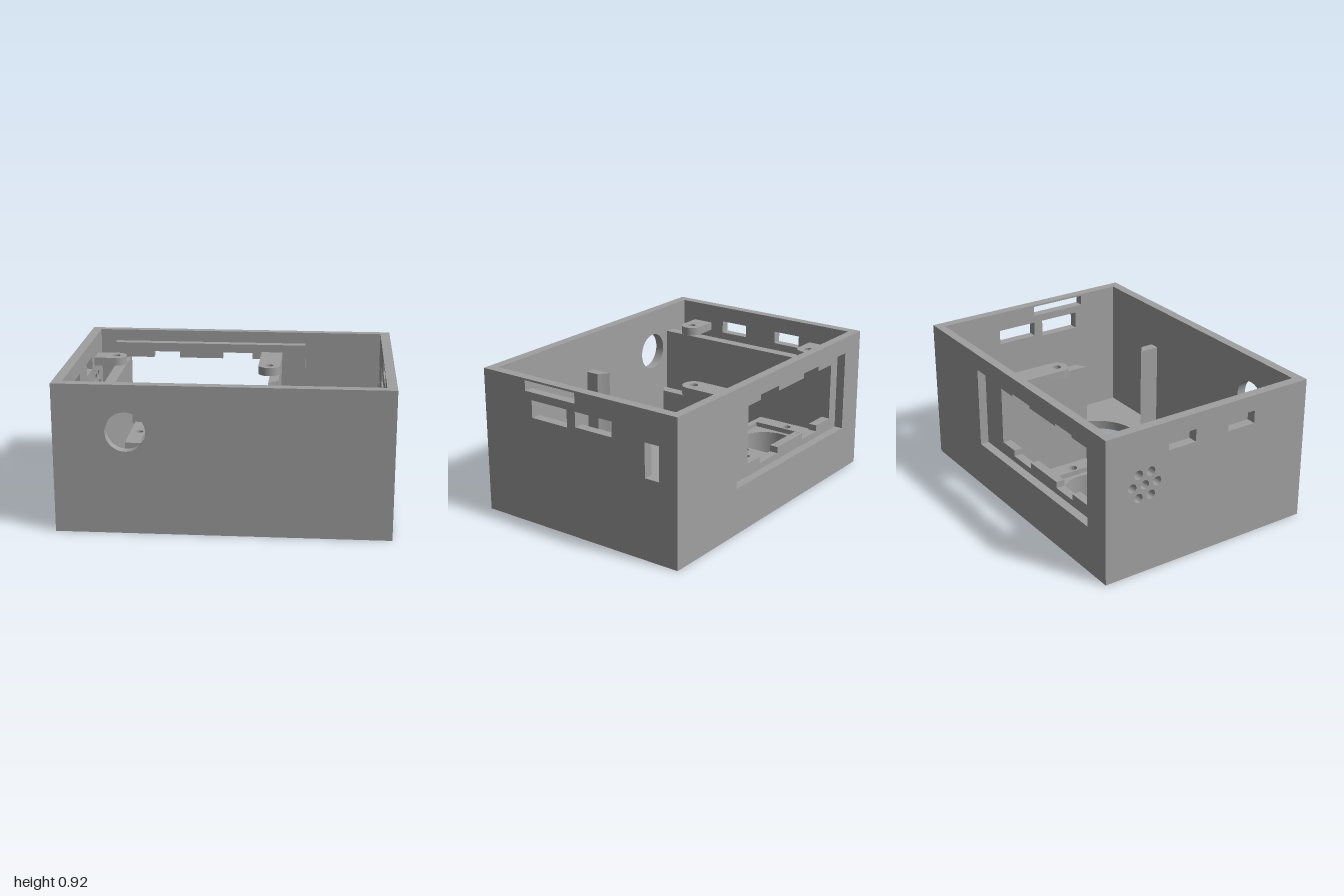
import * as THREE from 'three';
import { toCreasedNormals } from 'three/addons/utils/BufferGeometryUtils.js';

const circle = (x, y, r) => new THREE.Path().absarc(x, y, r, 0, Math.PI * 2, true);
const poly = (pts, T = THREE.Shape) => new T(pts.map(([x, y]) => new THREE.Vector2(x, y)));
const corners = (x0, x1, y0, y1) => [[x0, y0], [x1, y0], [x1, y1], [x0, y1]];
const rect = (...a) => poly(corners(...a));
const slot = (...a) => poly(corners(...a).reverse(), THREE.Path);

export function createModel() {
  const group = new THREE.Group();
  const grey = new THREE.MeshStandardMaterial({ color: 0xa0a0a0 });
  grey.name = 'grey plastic';

  const extrude = (shape, depth, holes) => {
    shape.holes.push(...holes);
    return new THREE.ExtrudeGeometry(shape, { depth, bevelEnabled: false, curveSegments: 28 });
  };
  const add = (name, geometry) => {
    const mesh = new THREE.Mesh(toCreasedNormals(geometry, 0.5), grey);
    mesh.name = name;
    group.add(mesh);
  };
  // Outline in x,y pushed along z
  const upright = (name, shape, z0, z1, holes = []) =>
    add(name, extrude(shape, z1 - z0, holes).translate(0, 0, z0));
  // Outline in x,z pushed along y
  const flat = (name, shape, y0, y1, holes = []) =>
    add(name, extrude(shape, y1 - y0, holes).rotateX(Math.PI / 2).translate(0, y1, 0));
  // Outline in z,y pushed along x
  const side = (name, shape, x0, x1, holes = []) =>
    add(name, extrude(shape, x1 - x0, holes).rotateY(-Math.PI / 2).translate(x1, 0, 0));

  const H = 0.915, FLOOR = 0.06, DIVIDER = 0.737, TAB = 0.79, BACK = -0.66;
  const big = { x: 0.437, z: 0.177, r: 0.3 };

  // Floor with the two round openings
  flat('floor', rect(-1, 1, -0.715, 0.715), 0, FLOOR,
    [circle(big.x, big.z, big.r), circle(-0.405, -0.39, 0.15)]);

  // Outer walls
  upright('frontWall', rect(-1, 1, FLOOR, H), 0.655, 0.715, [circle(-0.57, 0.63, 0.12)]);
  upright('backWall', rect(-1, 1, FLOOR, H), -0.715, BACK, [slot(-0.815, 0.42, 0.295, 0.81)]);
  side('leftWall', rect(BACK, 0.655, FLOOR, H), 0.94, 1, [
    slot(0.01, 0.388, 0.838, 0.903), slot(0.072, 0.34, 0.68, 0.79),
    slot(-0.258, 0.01, 0.695, 0.79), slot(-0.588, -0.49, 0.506, 0.72)]);
  // Seven sound holes in a hexagon, plus two slots
  const soundHoles = [circle(-0.452, 0.567, 0.028)];
  for (let i = 0; i < 6; i++) {
    const a = i * Math.PI / 3;
    soundHoles.push(circle(-0.452 + 0.085 * Math.cos(a), 0.567 + 0.085 * Math.sin(a), 0.028));
  }
  side('rightWall', rect(BACK, 0.655, FLOOR, H), -1, -0.94, [
    slot(-0.29, -0.1, 0.735, 0.815), slot(0.132, 0.325, 0.735, 0.815), ...soundHoles]);

  // Window frame behind the back wall, notched above and below
  const y0 = 0.375, y1 = 0.742, n = 0.04, notches = [[-0.575, -0.4], [-0.11, 0.09]];
  const lower = [[-0.745, y0]], upper = [[-0.745, y1]];
  for (const [a, b] of notches) {
    lower.push([a, y0], [a, y0 - n], [b, y0 - n], [b, y0]);
    upper.push([a, y1], [a, y1 + n], [b, y1 + n], [b, y1]);
  }
  lower.push([0.226, y0]);
  upper.push([0.226, y1]);
  upright('windowFrame', rect(-0.835, 0.443, 0.27, 0.84), BACK, -0.605,
    [poly([...upper, ...lower.reverse()], THREE.Path)]);

  // Stepped mount around the small floor opening
  const screws = () => [-0.655, -0.155].map(x => circle(x, -0.39, 0.026));
  flat('mountBase', rect(-0.715, -0.09, BACK, -0.145), FLOOR, 0.25,
    [circle(-0.405, -0.39, 0.185), ...screws()]);
  flat('mountRim', poly([[-0.715, BACK], [-0.615, BACK], [-0.615, -0.18], [-0.195, -0.18],
    [-0.195, BACK], [-0.09, BACK], [-0.09, -0.145], [-0.715, -0.145]]), 0.25, 0.28, screws());

  // Dividers; the left one is interrupted by the big opening
  flat('rightDivider', rect(-0.805, -0.735, BACK, 0.655), FLOOR, DIVIDER);
  const xa = 0.225, xb = 0.287;
  const cut = (s) => Array.from({ length: 7 }, (_, i) => {
    const x = xb + (xa - xb) * i / 6;
    return [x, big.z + s * Math.sqrt(big.r ** 2 - (x - big.x) ** 2)];
  });
  flat('leftDivider', poly([[xa, BACK], [xb, BACK], ...cut(-1)]), FLOOR, DIVIDER);
  flat('leftDividerPost', poly([[xa, 0.52], [xb, 0.52], ...cut(1)]), FLOOR, DIVIDER);

  // Rounded screw tabs resting on the dividers
  const r = 0.07;
  for (const z of [-0.443, 0.492]) {
    const tab = new THREE.Shape().moveTo(-0.94, z - r).lineTo(-0.805, z - r)
      .absarc(-0.805, z, r, -Math.PI / 2, Math.PI / 2, false).lineTo(-0.94, z + r);
    flat('sideScrewTab', tab, DIVIDER, TAB, [circle(-0.805, z, 0.026)]);
  }
  const backTab = new THREE.Shape().moveTo(0.22 + r, -0.605).lineTo(0.22 + r, -0.262)
    .absarc(0.22, -0.262, r, 0, Math.PI, false).lineTo(0.22 - r, -0.605);
  flat('backScrewTab', backTab, DIVIDER, TAB, [circle(0.22, -0.262, 0.026)]);

  return group;
}
